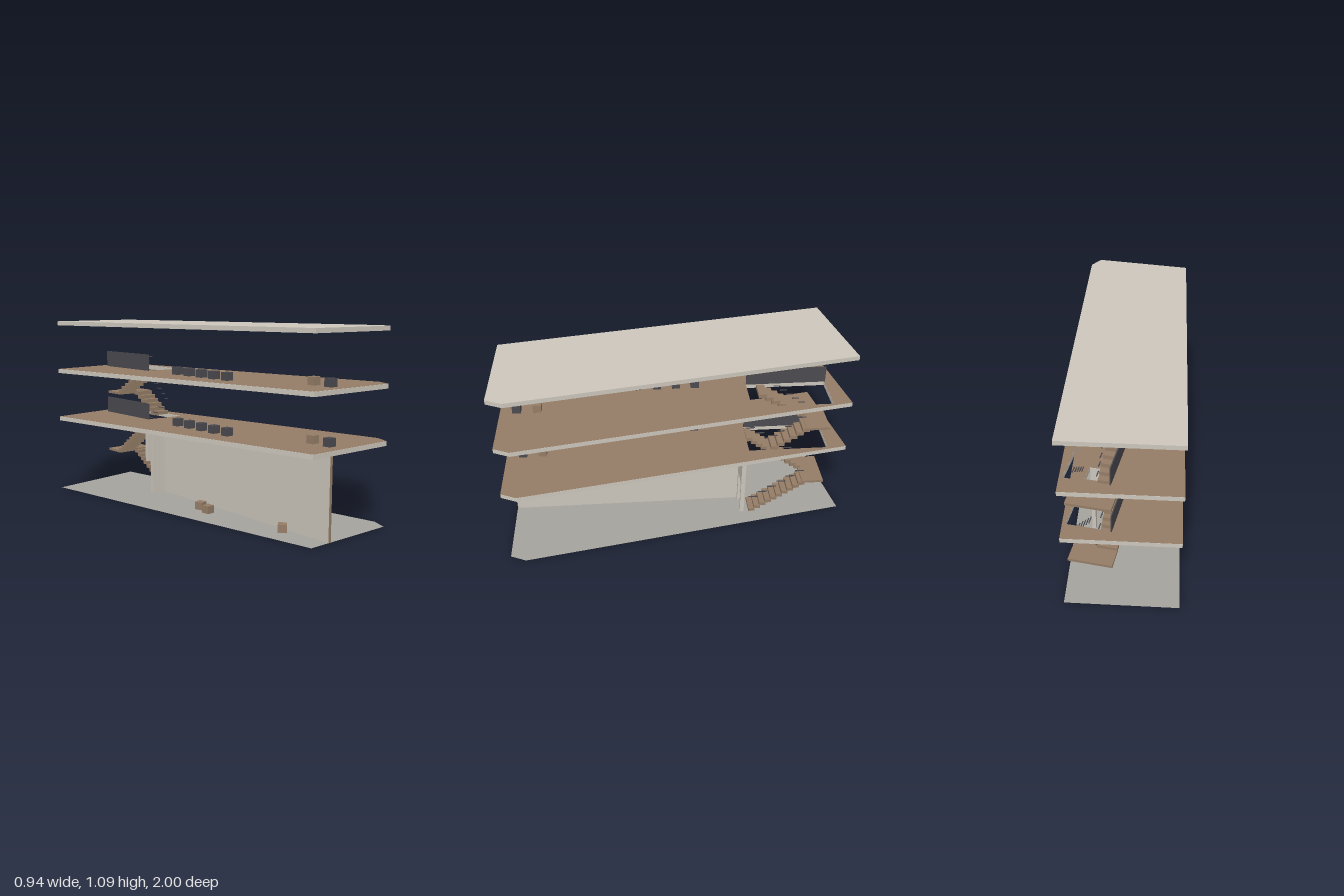
import * as THREE from 'three';

const mat = (name, color, side = THREE.FrontSide) => {
  const m = new THREE.MeshStandardMaterial({ color, side });
  m.name = name;
  return m;
};

export function createModel() {
  const root = new THREE.Group();
  root.name = 'pavilion';
  const concrete = mat('concrete', 0xcdc7bc);
  const wood = mat('wood', 0x957d66, THREE.DoubleSide);
  const dark = mat('darkGrey', 0x4b4a50);
  const paving = mat('paving', 0xa5a39e, THREE.DoubleSide);

  const add = (name, geo, m, parent = root) => {
    const mesh = new THREE.Mesh(geo, m);
    mesh.name = name;
    parent.add(mesh);
    return mesh;
  };
  // box given by its min and max corners
  const box = (name, m, [x0, y0, z0], [x1, y1, z1], parent = root) => {
    const mesh = add(name, new THREE.BoxGeometry(x1 - x0, y1 - y0, z1 - z0), m, parent);
    mesh.position.set((x0 + x1) / 2, (y0 + y1) / 2, (z0 + z1) / 2);
    return mesh;
  };
  const group = (name) => {
    const g = new THREE.Group();
    g.name = name;
    root.add(g);
    return g;
  };

  // skewed footprint, optionally with the stairwell opening
  const toPoints = (list) => list.map(([x, z]) => new THREE.Vector2(x, -z));
  const footprint = (hole) => {
    const s = new THREE.Shape(toPoints(
      [[-0.475, -0.9], [-0.145, 1], [0.43, 1], [0.47, 0.91], [0.135, -1]]));
    if (hole) s.holes.push(new THREE.Path(toPoints(
      [[-0.107, -0.89], [0.137, -0.89], [0.137, -0.42], [-0.107, -0.42]])));
    return s;
  };
  const sheet = (name, y, hole, m) => {
    const geo = new THREE.ShapeGeometry(footprint(hole)).rotateX(-Math.PI / 2);
    add(name, geo, m).position.y = y;
  };
  const slab = (name, y, hole) => {
    const geo = new THREE.ExtrudeGeometry(footprint(hole), { depth: 0.025, bevelEnabled: false });
    add(name, geo.rotateX(-Math.PI / 2), concrete).position.y = y;
  };

  // ground, two floors and roof
  sheet('ground', 0.001, false, paving);
  slab('firstFloorSlab', 0.447, true);
  sheet('firstFloorFinish', 0.473, true, wood);
  slab('secondFloorSlab', 0.755, true);
  sheet('secondFloorFinish', 0.781, true, wood);
  slab('roof', 1.06, false);

  // long wall with timber ends
  box('longWall', concrete, [-0.015, 0, -0.41], [0, 0.447, 0.997]);
  box('wallFrontEnd', wood, [-0.015, 0, 0.997], [0, 0.447, 1]);
  box('wallBackPost', wood, [-0.015, 0, -0.421], [0, 0.447, -0.41]);

  // cross wall with a low doorway, and a hanging panel beside it
  const cross = group('crossWall');
  box('crossWallLeft', concrete, [-0.107, 0, -0.41], [0.022, 0.447, -0.385], cross);
  box('crossWallRight', concrete, [0.115, 0, -0.41], [0.137, 0.447, -0.385], cross);
  box('crossWallLintel', concrete, [0.022, 0.217, -0.41], [0.115, 0.447, -0.385], cross);
  box('hangingPanel', concrete, [-0.145, 0.215, -0.41], [-0.118, 0.447, -0.385]);

  // flight of overlapping block steps from (y0, z0) to (y1, z1)
  const flight = (parent, x0, x1, y0, z0, y1, z1, n) => {
    const dy = (y1 - y0) / n, dz = (z1 - z0) / n;
    for (let i = 0; i < n; i++) {
      const a = z0 + dz * i, b = a + dz * 1.2;
      box('step', wood, [x0, y0 + dy * i, Math.min(a, b)],
        [x1, y0 + dy * (i + 1), Math.max(a, b)], parent);
    }
  };
  // floating handrail pieces climbing along a flight
  const rails = (parent, x, y0, z0, y1, z1, n, len) => {
    for (let i = 0; i < n; i++) {
      const t = i / (n - 1), y = y0 + (y1 - y0) * t, z = z0 + (z1 - z0) * t;
      box('handrailPiece', dark, [x - 0.0025, y - 0.0025, z - len / 2],
        [x + 0.0025, y + 0.0025, z + len / 2], parent);
    }
  };

  const lower = group('lowerStair');
  flight(lower, 0.025, 0.137, 0, -0.44, 0.213, -0.77, 10);
  box('landing', wood, [-0.107, 0.207, -0.89], [0.137, 0.222, -0.76], lower);
  flight(lower, -0.107, 0.005, 0.215, -0.775, 0.467, -0.43, 11);
  rails(lower, 0.134, 0.115, -0.465, 0.302, -0.738, 6, 0.055);
  rails(lower, 0, 0.34, -0.738, 0.54, -0.445, 6, 0.055);

  const upper = group('upperStair');
  flight(upper, 0.025, 0.137, 0.472, -0.55, 0.612, -0.765, 6);
  box('landing', wood, [-0.107, 0.6, -0.89], [0.137, 0.615, -0.75], upper);
  flight(upper, -0.107, 0.005, 0.612, -0.77, 0.776, -0.49, 7);
  rails(upper, 0.134, 0.573, -0.56, 0.695, -0.72, 5, 0.04);
  rails(upper, 0, 0.71, -0.74, 0.858, -0.545, 6, 0.04);

  // screens beside the stairwell and block seats on each floor
  for (const y of [0.473, 0.781]) {
    const g = group('floorFurniture');
    box('stairScreen', dark, [-0.11, y, -0.895], [-0.104, y + 0.101, -0.42], g);
    const seat = (m, x, z) =>
      box('blockSeat', m, [x - 0.0235, y, z - 0.0235], [x + 0.0235, y + 0.045, z + 0.0235], g);
    for (let i = 0; i < 5; i++) seat(dark, -0.114, -0.115 + i * 0.111);
    seat(dark, 0.08, 0.905);
    seat(wood, 0.08, 0.79);
  }

  // loose crates on the ground
  for (const [x, z, turn] of [[-0.105, 0.09, 0.25], [-0.125, 0.18, 0.1], [-0.058, 0.714, 0.75]]) {
    const crate = box('crate', wood, [x - 0.024, 0, z - 0.024], [x + 0.024, 0.046, z + 0.024]);
    crate.rotation.y = turn;
  }
  return root;
}
